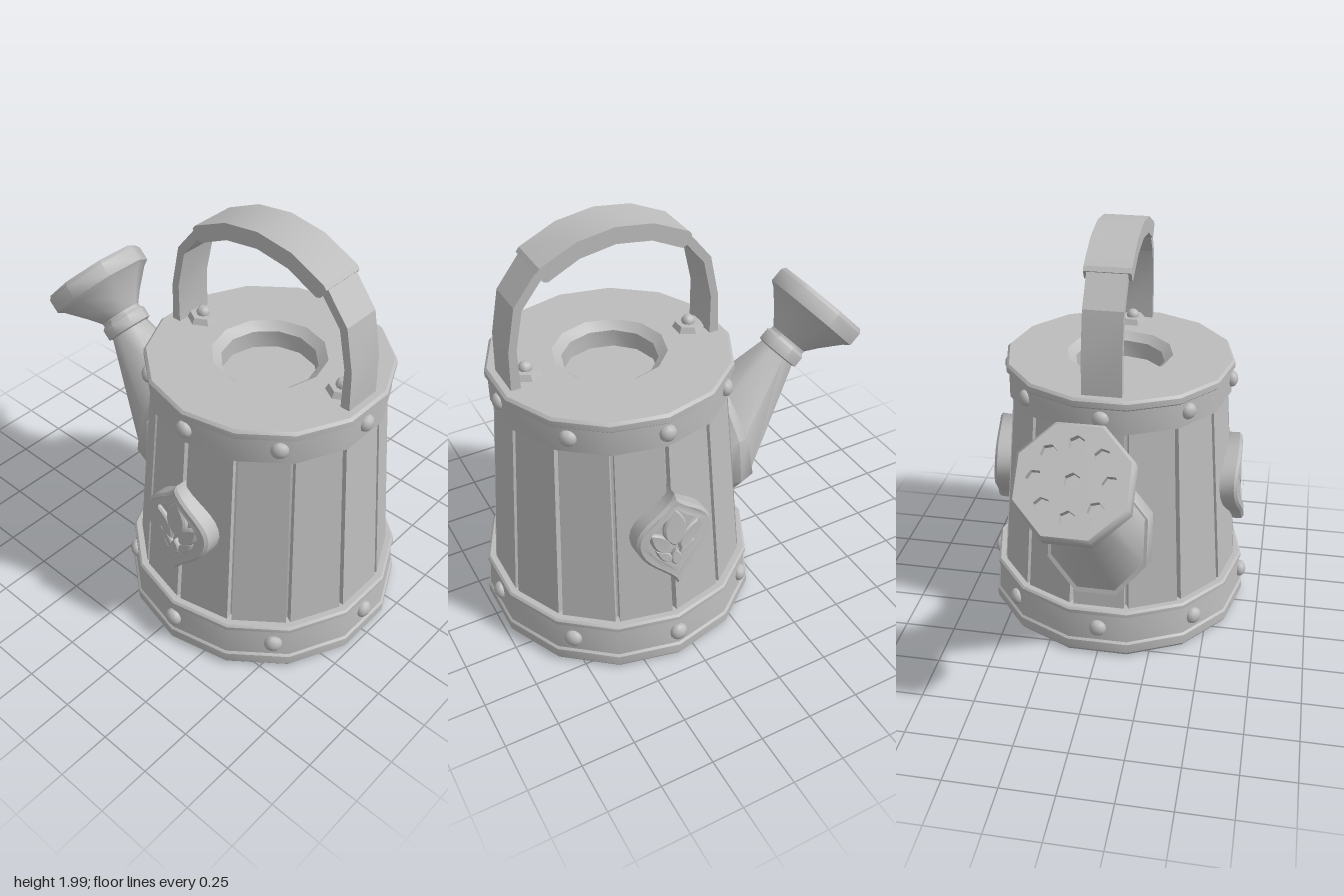
import * as THREE from 'three';
import { toCreasedNormals } from 'three/addons/utils/BufferGeometryUtils.js';

const CX = 0.335, SIDES = 14, HALF = Math.PI / SIDES;
const metal = new THREE.MeshStandardMaterial({ color: 0xbcbcbc });
metal.name = 'grey metal';

function add(parent, name, geometry, crease = 0.6) {
  const mesh = new THREE.Mesh(toCreasedNormals(geometry, crease), metal);
  mesh.name = name;
  parent.add(mesh);
  return mesh;
}
const vecs = (pts) => pts.map(([x, y]) => new THREE.Vector2(x, y));
const lathe = (pts, n, start = 0) => new THREE.LatheGeometry(vecs(pts), n, start);

function polygon(r, n, start = 0, cx = 0, cy = 0, Type = THREE.Shape) {
  const pts = [];
  for (let i = 0; i < n; i++) {
    const a = start + i / n * Math.PI * 2;
    pts.push(new THREE.Vector2(cx + r * Math.cos(a), cy + r * Math.sin(a)));
  }
  return new Type(pts);
}

// Skin over rings given as [centre x, centre y, U x, U y, z radius], octagonal
function loft(rings, n = 8) {
  const pos = [], idx = [];
  rings.forEach(([x, y, ux, uy, rz], i) => {
    for (let j = 0; j < n; j++) {
      const a = (j + 0.5) / n * Math.PI * 2, k = 1 / Math.cos(Math.PI / n);
      const c = Math.cos(a) * k, s = Math.sin(a) * k;
      pos.push(x + ux * c, y + uy * c, rz * s);
      if (i) {
        const j2 = (j + 1) % n, p = (i - 1) * n, q = i * n;
        idx.push(p + j, p + j2, q + j, p + j2, q + j2, q + j);
      }
    }
  });
  const g = new THREE.BufferGeometry();
  g.setAttribute('position', new THREE.Float32BufferAttribute(pos, 3));
  g.setIndex(idx);
  return g;
}

// Distance from the axis to a 14-sided wall in direction phi
function wallRadius(apothem, phi) {
  return apothem / Math.cos((phi % (2 * HALF)) - HALF);
}

// Strap in the xy plane, mirrored about x = 0
function strap(outer, inner, width) {
  const mirror = (p) => p.filter(([x]) => x !== 0).map(([x, y]) => [-x, y]).reverse();
  const top = [...outer, ...mirror(outer)], low = [...inner, ...mirror(inner)];
  const shape = new THREE.Shape(vecs([...top, ...low.reverse()]));
  const g = new THREE.ExtrudeGeometry(shape, { depth: width, bevelEnabled: false });
  return g.translate(0, 0, -width / 2);
}

function emblemOutline(s, Type = THREE.Shape) {
  const p = new Type();
  p.moveTo(0, 0.25 * s);
  p.bezierCurveTo(0.03 * s, 0.16 * s, 0.18 * s, 0.14 * s, 0.185 * s, 0.02 * s);
  p.bezierCurveTo(0.18 * s, -0.11 * s, 0.04 * s, -0.15 * s, 0, -0.25 * s);
  p.bezierCurveTo(-0.04 * s, -0.15 * s, -0.18 * s, -0.11 * s, -0.185 * s, 0.02 * s);
  p.bezierCurveTo(-0.18 * s, 0.14 * s, -0.03 * s, 0.16 * s, 0, 0.25 * s);
  return p;
}

function leaf(x0, y0, x1, y1, w) {
  const dx = x1 - x0, dy = y1 - y0, l = Math.hypot(dx, dy);
  const nx = -dy / l * w, ny = dx / l * w;
  const s = new THREE.Shape();
  s.moveTo(x0, y0);
  s.bezierCurveTo(x0 + dx * 0.2 - nx, y0 + dy * 0.2 - ny, x0 + dx * 0.6 - nx, y0 + dy * 0.6 - ny, x1, y1);
  s.bezierCurveTo(x0 + dx * 0.6 + nx, y0 + dy * 0.6 + ny, x0 + dx * 0.2 + nx, y0 + dy * 0.2 + ny, x0, y0);
  return s;
}

// Pointed badge with a raised rim and a flower of petals
function makeEmblem() {
  const g = new THREE.Group();
  const relief = (name, shape, front, depth, bevel) => {
    const geo = new THREE.ExtrudeGeometry(shape, {
      depth: depth - bevel, bevelEnabled: true, bevelThickness: bevel, bevelSize: bevel,
      bevelOffset: -bevel, bevelSegments: 1, curveSegments: 8 });
    geo.translate(0, 0, front - depth);
    const p = geo.attributes.position;
    for (let i = 0; i < p.count; i++) p.setZ(i, p.getZ(i) - 0.6 * p.getX(i) ** 2);
    add(g, name, geo, 0.5);
  };
  const rim = emblemOutline(1);
  rim.holes.push(emblemOutline(0.8, THREE.Path));
  relief('emblemRim', rim, 0, 0.1, 0.012);
  relief('emblemPanel', emblemOutline(0.9), -0.03, 0.07, 0.004);
  relief('centrePetal', leaf(0, -0.04, 0, 0.165, 0.075), -0.01, 0.05, 0.008);
  relief('lowerBud', leaf(0, -0.145, 0, -0.06, 0.035), -0.01, 0.05, 0.006);
  for (const s of [-1, 1]) {
    relief('sidePetal', leaf(s * 0.022, -0.07, s * 0.12, 0.06, 0.05), -0.012, 0.05, 0.008);
    relief('lowerPetal', leaf(s * 0.018, -0.12, s * 0.095, -0.04, 0.03), -0.014, 0.05, 0.006);
  }
  return g;
}

export function createModel() {
  const model = new THREE.Group();
  model.name = 'wateringCan';
  const can = new THREE.Group();
  can.name = 'can';
  can.position.x = CX;
  model.add(can);

  // Inner core, hoops and deck
  add(can, 'core', lathe([[0.58, 0.2], [0.505, 1.22]], SIDES));
  add(can, 'bottomHoop', lathe([[0, 0], [0.645, 0], [0.66, 0.02], [0.66, 0.068], [0.65, 0.078],
    [0.638, 0.215], [0.647, 0.222], [0.647, 0.24], [0.637, 0.25], [0.56, 0.25]], SIDES), 0.5);
  add(can, 'topHoop', lathe([[0.5, 1.17], [0.548, 1.17], [0.548, 1.29], [0.56, 1.3],
    [0.56, 1.328], [0.548, 1.34]], SIDES), 0.5);
  const deck = polygon(0.548, SIDES, Math.PI / 2);
  deck.holes.push(polygon(0.26, 12, 0, 0, 0, THREE.Path));
  add(can, 'deck', new THREE.ShapeGeometry(deck).rotateX(-Math.PI / 2).translate(0, 1.34, 0));
  add(can, 'opening', lathe([[0.26, 1.34], [0.218, 1.305], [0.218, 1.22], [0, 1.22]], 12));

  // Tapered planks with narrow gaps
  const apothem = (y) => 0.594 - (y - 0.25) * 0.08;
  for (let i = 0; i < SIDES; i++) {
    const geo = new THREE.BoxGeometry(1, 1, 1), p = geo.attributes.position;
    for (let k = 0; k < p.count; k++) {
      const y = p.getY(k) > 0 ? 1.22 : 0.2, a = apothem(y);
      const w = 2 * (a * Math.tan(HALF) - 0.011);
      p.setXYZ(k, p.getX(k) * w, y, p.getZ(k) > 0 ? a : a - 0.06);
    }
    add(can, 'plank', geo.rotateY((2 * i + 1) * HALF), 0.3);
  }

  // Rivets on both hoops
  for (const [y, a, r] of [[0.145, 0.629, 0.043], [1.24, 0.534, 0.04]]) {
    for (let i = 0; i < 8; i++) {
      const phi = i * Math.PI / 4, d = wallRadius(a, phi);
      const rivet = add(can, 'rivet', new THREE.SphereGeometry(r, 12, 8).scale(1, 1, 0.75), 1);
      rivet.position.set(d * Math.sin(phi), y, d * Math.cos(phi));
      rivet.rotation.y = phi;
    }
  }

  // Arched handle with a thicker grip and riveted feet
  add(can, 'handle', strap(
    [[-0.505, 1.34], [-0.5, 1.53], [-0.46, 1.73], [-0.35, 1.87], [-0.17, 1.95], [0, 1.97]],
    [[-0.46, 1.34], [-0.463, 1.53], [-0.425, 1.71], [-0.325, 1.835], [-0.16, 1.91], [0, 1.935]], 0.185), 0.3);
  add(can, 'grip', strap(
    [[-0.357, 1.868], [-0.342, 1.888], [-0.175, 1.965], [0, 1.99], ],
    [[-0.33, 1.825], [-0.31, 1.817], [-0.165, 1.888], [0, 1.913]], 0.215), 0.3);
  for (const s of [-1, 1]) {
    const foot = add(can, 'handleFoot', new THREE.CylinderGeometry(0.06, 0.075, 0.03, 6), 0.3);
    foot.position.set(s * 0.4, 1.353, 0);
    const rivet = add(can, 'footRivet', new THREE.SphereGeometry(0.032, 10, 8), 1);
    rivet.position.set(s * 0.4, 1.373, 0);
  }

  // Badges on the front and the back
  for (const s of [1, -1]) {
    const holder = new THREE.Group(), emblem = makeEmblem();
    holder.name = 'emblem';
    emblem.position.set(0, 0.705, 0.632);
    emblem.rotation.x = -0.07;
    holder.rotation.y = s > 0 ? 0 : Math.PI;
    holder.add(emblem);
    can.add(holder);
  }

  // Spout cone and the flange where it meets the planks
  add(model, 'spout', loft([[-0.57, 1.04, 0.065, 0.068, 0.094], [-0.285, 0.67, 0.045, 0.265, 0.22]]), 0.9);
  add(model, 'spoutFlange', loft([[-0.285, 0.67, 0.03, 0.2, 0.17], [-0.287, 0.66, 0.046, 0.28, 0.235],
    [-0.222, 0.655, 0.025, 0.31, 0.25], [-0.175, 0.645, 0.01, 0.275, 0.24], [-0.08, 0.645, 0.01, 0.275, 0.23]]), 0.8);

  // Collar and sprinkler rose, built along the spout axis
  const rose = new THREE.Group();
  rose.name = 'rose';
  rose.position.set(-0.59, 1.06, 0);
  rose.rotation.z = 0.806;
  model.add(rose);
  add(rose, 'collar', lathe([[0.09, -0.035], [0.12, -0.025], [0.12, 0.03], [0.105, 0.045], [0.105, 0.07]],
    8, Math.PI / 8), 0.8);
  add(rose, 'roseBell', lathe([[0.105, 0.06], [0.15, 0.115], [0.235, 0.205], [0.265, 0.225], [0.265, 0.295],
    [0.25, 0.315], [0.235, 0.315], [0.235, 0.275], [0, 0.275]], 8, Math.PI / 8), 0.8);
  const plate = polygon(0.236, 8, Math.PI / 8);
  plate.holes.push(polygon(0.036, 6, 0, 0, 0, THREE.Path));
  for (let i = 0; i < 8; i++) {
    const a = i * Math.PI / 4;
    plate.holes.push(polygon(0.036, 6, a, 0.155 * Math.cos(a), 0.155 * Math.sin(a), THREE.Path));
  }
  const plateGeo = new THREE.ExtrudeGeometry(plate, { depth: 0.04, bevelEnabled: false });
  add(rose, 'rosePlate', plateGeo.rotateX(-Math.PI / 2).translate(0, 0.275, 0), 0.3);

  return model;
}
